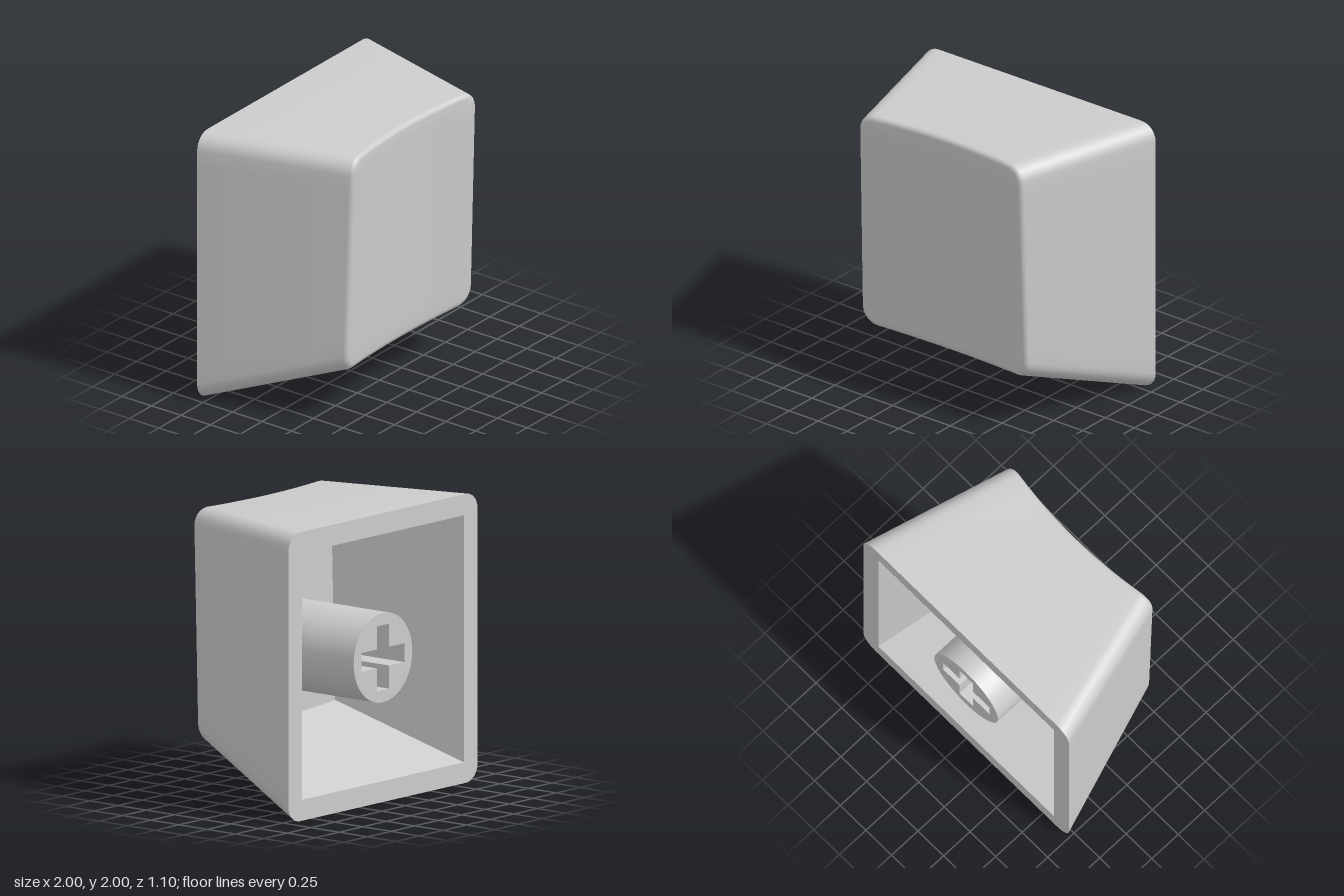
import * as THREE from 'three';
import { toCreasedNormals } from 'three/addons/utils/BufferGeometryUtils.js';

const BACK = -0.55;
const EDGE_STEPS = 14;
const CENTRE_Y = 1.2;

// Counter-clockwise outline of a rounded rectangle, with subdivided edges
function outline(w, y0, y1, r, arcSteps) {
  const corners = [[w - r, y0 + r, -90], [w - r, y1 - r, 0], [r - w, y1 - r, 90], [r - w, y0 + r, 180]];
  const arcs = corners.map(([x, y, start]) => {
    const arc = [];
    for (let j = 0; j <= arcSteps; j++) {
      const a = THREE.MathUtils.degToRad(start + (arcSteps ? 90 * j / arcSteps : 0));
      arc.push([x + r * Math.cos(a), y + r * Math.sin(a)]);
    }
    return arc;
  });
  const points = [];
  arcs.forEach((arc, k) => {
    points.push(...arc);
    const a = arc[arcSteps], b = arcs[(k + 1) % 4][0];
    for (let j = 1; j < EDGE_STEPS; j++) {
      const t = j / EDGE_STEPS;
      points.push([a[0] + (b[0] - a[0]) * t, a[1] + (b[1] - a[1]) * t]);
    }
  });
  return points;
}

// Tapered section whose depth follows a curved end surface; s runs from back (0) to front (1)
function section(skin, s, inset = 0, drop = 0) {
  const at = (z) => {
    const d = z - BACK;
    return outline(1 - skin.wall - 0.273 * d - inset, skin.wall + 0.38 * d + inset,
      2 - skin.wall - inset, Math.max(skin.radius - inset, 0), skin.arcSteps);
  };
  return at(BACK).map((_, i) => {
    let z = BACK + s, p;
    for (let n = 0; n < 6; n++) {
      p = at(z)[i];
      z = BACK + s * (skin.end(p[0], p[1]) - drop - BACK);
    }
    return [p[0], p[1], z];
  });
}

// Rings shrinking to a point across the curved end surface
function endRings(skin, ring, count) {
  const rings = [];
  for (let n = 1; n <= count; n++) {
    const k = 1 - n / count;
    rings.push(ring.map(([px, py]) => {
      const x = px * k, y = CENTRE_Y + (py - CENTRE_Y) * k;
      return [x, y, skin.end(x, y)];
    }));
  }
  return rings;
}

// Joins rings into a surface; the last ring is a single point
function loft(rings, inward) {
  const n = rings[0].length, index = [];
  const tri = (a, b, c) => index.push(a, ...(inward ? [c, b] : [b, c]));
  for (let j = 0; j < rings.length - 1; j++) {
    for (let i = 0; i < n; i++) {
      const a = j * n + i, b = j * n + (i + 1) % n;
      tri(a, b, a + n);
      if (j < rings.length - 2) tri(b, b + n, a + n);
    }
  }
  const g = new THREE.BufferGeometry();
  g.setAttribute('position', new THREE.Float32BufferAttribute(rings.flat(2), 3));
  g.setIndex(index);
  return toCreasedNormals(g, 0.6);
}

export function createModel() {
  const group = new THREE.Group();
  const material = new THREE.MeshStandardMaterial({ color: 0xcccccc });
  const add = (name, geometry) => {
    const mesh = new THREE.Mesh(geometry, material);
    mesh.name = name;
    group.add(mesh);
    return mesh;
  };

  // Outer shell: tapered walls, small fillet, dished front face
  const outer = {
    wall: 0, radius: 0.12, arcSteps: 6,
    end: (x, y) => 0.555 + 0.033 * (y - 1.95) - 0.065 * (1 - (x / 0.7) ** 2),
  };
  const fillet = 0.035;
  const outerRings = [section(outer, 0)];
  for (let j = 0; j <= 5; j++) {
    const a = j / 5 * Math.PI / 2;
    outerRings.push(section(outer, 1, fillet * (1 - Math.cos(a)), fillet * (1 - Math.sin(a))));
  }
  outerRings.push(...endRings(outer, outerRings[outerRings.length - 1], 8));
  add('outerShell', loft(outerRings, false));

  // Hollow inside with sharp corners
  const inner = {
    wall: 0.145, radius: 0, arcSteps: 0,
    end: (x, y) => 0.41 + 0.02 * (y - 2) - 0.04 * (1 - (x / 0.6) ** 2),
  };
  const innerRings = [section(inner, 0), section(inner, 1)];
  innerRings.push(...endRings(inner, innerRings[1], 8));
  add('innerCavity', loft(innerRings, true));

  // Flat rim around the opening
  const toVectors = (ring) => ring.map(([x, y]) => new THREE.Vector2(x, y));
  const rimShape = new THREE.Shape(toVectors(outerRings[0]));
  rimShape.holes.push(new THREE.Path(toVectors(innerRings[0])));
  const rim = add('backRim', new THREE.ShapeGeometry(rimShape));
  rim.rotation.y = Math.PI;
  rim.position.z = BACK;

  // Stem with a cross-shaped socket, solid beyond the socket depth
  const stem = (name, z0, z1, socket) => {
    const shape = new THREE.Shape().absarc(0, 0, 0.31, 0, Math.PI * 2, false);
    if (socket) {
      const l = 0.225, t = 0.065;
      const cross = [[l, -t], [l, t], [t, t], [t, l], [-t, l], [-t, t],
        [-l, t], [-l, -t], [-t, -t], [-t, -l], [t, -l], [t, -t]];
      shape.holes.push(new THREE.Path(toVectors(cross)));
    }
    const g = new THREE.ExtrudeGeometry(shape, { depth: z1 - z0, bevelEnabled: false, curveSegments: 20 });
    add(name, toCreasedNormals(g, 0.6)).position.set(0, 1, z0);
  };
  stem('stemSocket', BACK, BACK + 0.45, true);
  stem('stemBase', BACK + 0.45, 0.39, false);

  return group;
}
